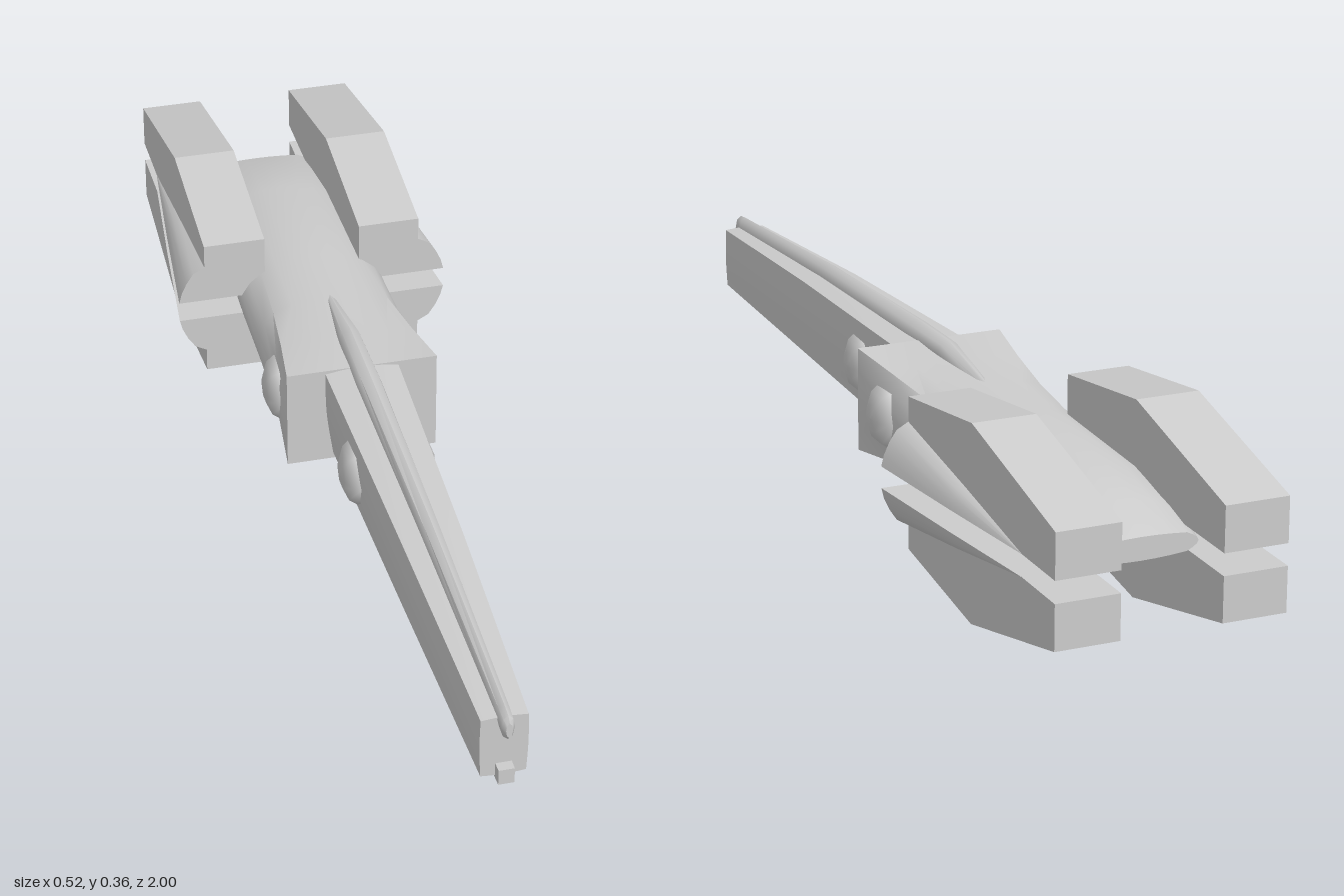
import * as THREE from 'three';
import { toCreasedNormals } from 'three/addons/utils/BufferGeometryUtils.js';

const MID = 0.182; // height of the long axis

const mat = () => new THREE.MeshStandardMaterial({ color: 0xcccccc, side: THREE.DoubleSide });

function add(parent, name, geometry) {
  const mesh = new THREE.Mesh(geometry, mat());
  mesh.name = name;
  parent.add(mesh);
  return mesh;
}

// Skins closed rings (counter-clockwise seen from +z, ordered front to back) and caps both ends
function loft(rings, crease) {
  const n = rings[0].length, pos = [], idx = [];
  rings.forEach(r => r.forEach(p => pos.push(...p)));
  for (let i = 0; i < rings.length - 1; i++) {
    for (let j = 0; j < n; j++) {
      const a = i * n + j, b = i * n + (j + 1) % n;
      idx.push(a, a + n, b, b, a + n, b + n);
    }
  }
  const last = (rings.length - 1) * n;
  for (let j = 1; j < n - 1; j++) {
    idx.push(0, j, j + 1);
    idx.push(last, last + j + 1, last + j);
  }
  const g = new THREE.BufferGeometry();
  g.setAttribute('position', new THREE.Float32BufferAttribute(pos, 3));
  g.setIndex(idx);
  return toCreasedNormals(g, crease);
}

// Cross-section between an ellipse (square = 0) and a rectangle (square = 1)
function ring(z, w, y0, y1, square, flare = 0, n = 24) {
  const pts = [];
  for (let i = 0; i < n; i++) {
    const a = (i / n) * Math.PI * 2, c = Math.cos(a), s = Math.sin(a);
    const k = THREE.MathUtils.lerp(1, 1 / Math.max(Math.abs(c), Math.abs(s)), square);
    pts.push([c * k * w * (1 + flare * s * k), (y0 + y1) / 2 + s * k * (y1 - y0) / 2, z]);
  }
  return pts;
}

// Low six-sided dome on the flank
function addBlister(parent, name, side, x, z, height) {
  const profile = [[0.06, -0.03], [0.06, 0], [0.05, height * 0.55], [0.027, height * 0.9], [0, height]]
    .map(p => new THREE.Vector2(...p));
  const g = new THREE.LatheGeometry(profile, 6);
  g.rotateZ(-side * Math.PI / 2);
  g.rotateX(Math.PI / 2 * (1 - 0));
  g.computeBoundingBox();
  // keep the hexagon's points fore and aft
  const b = g.boundingBox;
  if (b.max.y - b.min.y > b.max.z - b.min.z) g.rotateX(Math.PI / 2);
  add(parent, name, g).position.set(side * x, MID, z);
}

// Angular engine pod with a tapering quarter-cone fairing on its outer side
function addPod(parent, name, sx, sy) {
  const pod = new THREE.Group();
  pod.name = name;
  const outline = [[-0.4, 0.02], [-0.4, 0.141], [-0.67, 0.18], [-1, 0.103], [-1, 0.02]];
  const section = x => outline.map(([z, y]) => [sx * x, MID + sy * y, z]);
  const body = [section(0.093), section(0.211)];
  const arc = [[0, 0.02], [0.051, 0.02], [0.046, 0.04], [0.036, 0.062], [0.022, 0.083], [0, 0.095]];
  const slice = (z, k) => arc.map(([x, y]) => [sx * (0.211 + x * k), MID + sy * (0.02 + (y - 0.02) * k), z]);
  const fairing = [slice(-0.4, 1), slice(-0.64, 0.52), slice(-0.87, 0.01)];
  // mirrored copies swap the corner order
  if (sx * sy > 0) body.forEach(r => r.reverse());
  else fairing.forEach(r => r.reverse());
  if (sx > 0) body.reverse();
  if (sx * sy < 0 && sx > 0) body.forEach(r => r.reverse()), body.forEach(r => r.reverse());
  add(pod, 'podBody', orient(loft(body, 0.2)));
  add(pod, 'podFairing', orient(loft(fairing, 0.6)));
  parent.add(pod);
}

// Flips a closed shell if its faces point inward
function orient(g) {
  const p = g.attributes.position, a = new THREE.Vector3(), b = new THREE.Vector3(), c = new THREE.Vector3();
  let volume = 0;
  for (let i = 0; i < p.count; i += 3) {
    a.fromBufferAttribute(p, i);
    b.fromBufferAttribute(p, i + 1);
    c.fromBufferAttribute(p, i + 2);
    volume += a.dot(b.cross(c));
  }
  if (volume >= 0) return g;
  for (const attr of [p, g.attributes.normal]) {
    const s = attr === p ? 1 : -1;
    for (let i = 0; i < attr.count; i += 3) {
      const v = [0, 2, 1].map(k => [attr.getX(i + k) * s, attr.getY(i + k) * s, attr.getZ(i + k) * s]);
      v.forEach((q, k) => attr.setXYZ(i + k, ...q));
    }
  }
  return g;
}

export function createModel() {
  const model = new THREE.Group();
  model.name = 'spacecraft';

  // Rear hull: square at the front, round further back, pinched at the tail
  const hull = [
    [0, 0.142, 0.083, 0.28, 1], [-0.12, 0.142, 0.085, 0.278, 0.6], [-0.25, 0.142, 0.088, 0.275, 0.25],
    [-0.4, 0.142, 0.092, 0.272, 0], [-0.67, 0.135, 0.105, 0.264, 0],
    [-0.8, 0.122, 0.135, 0.235, 0], [-0.885, 0.105, 0.162, 0.204, 0.3],
  ].map(s => ring(...s));
  add(model, 'rearHull', loft(hull, 0.7));

  // Long tapering neck, a little wider at the top
  const neck = [
    [0.97, 0.042, 0.108, 0.232, 0.85, 0.02], [0.5, 0.056, 0.098, 0.262, 0.75, 0.08],
    [0, 0.067, 0.088, 0.28, 0.75, 0.12], [-0.05, 0.067, 0.088, 0.28, 0.75, 0.12],
  ].map(s => ring(...s));
  add(model, 'neck', loft(neck, 0.7));

  // Ridge along the back, with a rounded tip drooping over the nose
  const spine = [
    [1, 0.006, 0.21, 0.24], [0.99, 0.012, 0.2, 0.25], [0.965, 0.013, 0.205, 0.253], [0.5, 0.019, 0.235, 0.285],
    [0.05, 0.024, 0.25, 0.302], [-0.09, 0.022, 0.255, 0.304], [-0.27, 0.008, 0.255, 0.272],
  ].map(([z, w, y0, y1]) => ring(z, w, y0, y1, 0, 0, 8));
  add(model, 'spine', loft(spine, 0.8));

  // Keel strip under the neck, ending in a square muzzle
  const keel = [
    [0.99, 0.014, 0.104, 0.134], [0.9, 0.015, 0.102, 0.134], [0.5, 0.02, 0.093, 0.12], [0, 0.026, 0.085, 0.11],
  ].map(([z, w, y0, y1]) => [[-w, y0, z], [w, y0, z], [w, y1, z], [-w, y1, z]]);
  add(model, 'keel', loft(keel, 0.5));

  for (const side of [1, -1]) {
    const label = side > 0 ? 'left' : 'right';
    addBlister(model, label + 'NeckBlister', side, 0.062, 0.185, 0.026);
    addBlister(model, label + 'HullBlister', side, 0.136, -0.11, 0.027);
    addPod(model, label + 'UpperPod', side, 1);
    addPod(model, label + 'LowerPod', side, -1);
  }
  return model;
}
